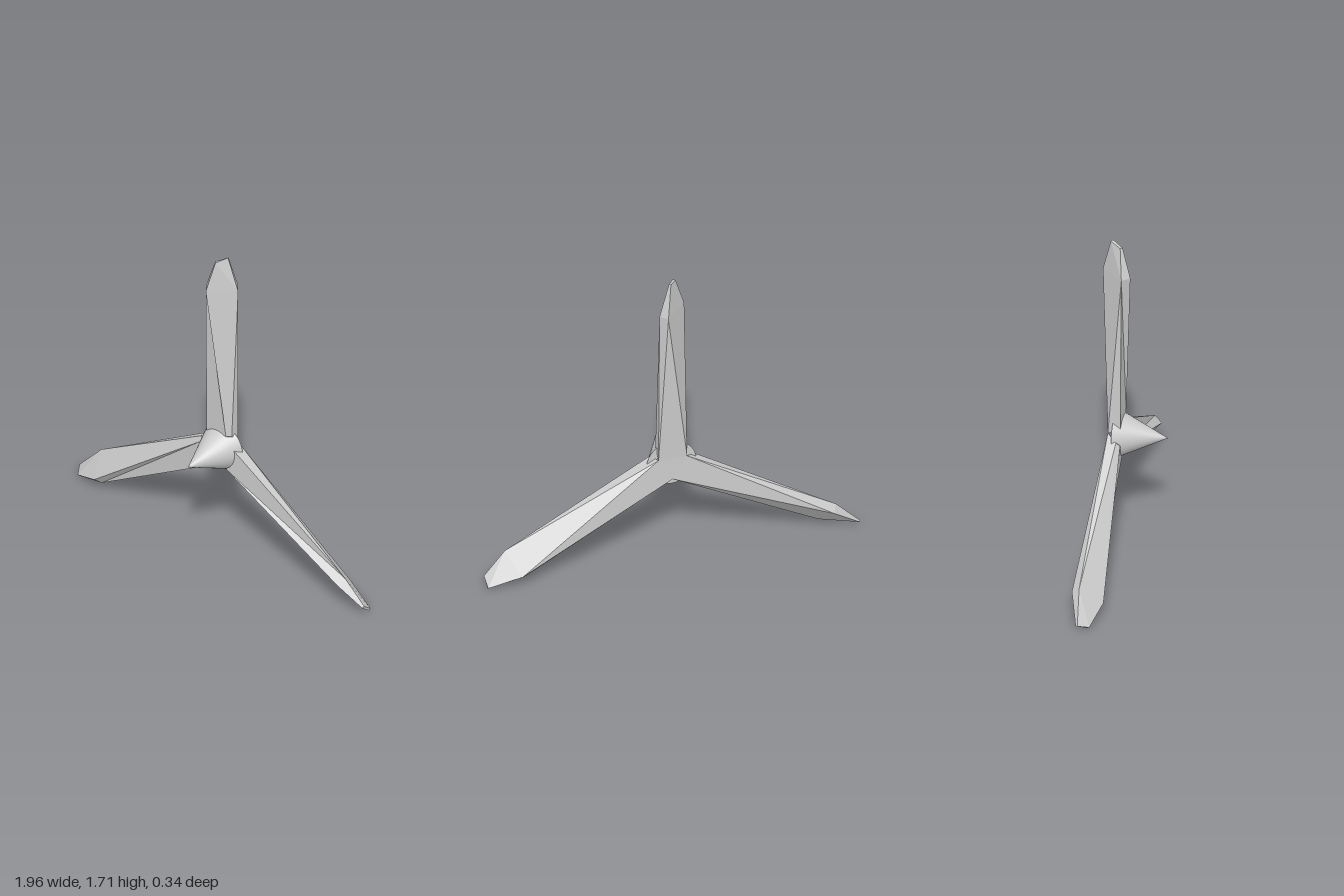
import * as THREE from 'three';

const HUB = [0.02, 0.63, 0];

// Blade cross-sections relative to the hub centre, ordered front, right, back right, back left, left
const ROOT = [[0.055, 0.10, -0.055], [0.077, 0.10, -0.075], [0.075, 0.043, -0.125], [-0.075, 0.043, -0.125], [-0.08, 0.07, -0.06]];
const WIDE = [[-0.045, 0.95, -0.015], [0.071, 0.945, -0.13], [0.036, 0.945, -0.17], [-0.08, 0.95, -0.055], [-0.08, 0.95, -0.055]];
const TIP = [[-0.02, 1.11, -0.06], [0.016, 1.13, -0.115], [0.01, 1.125, -0.125], [-0.03, 1.11, -0.07], [-0.03, 1.11, -0.07]];

// Skin a closed solid through the cross-sections
function loft(rings) {
  const pos = [];
  const same = (a, b) => a.every((v, i) => v === b[i]);
  const tri = (a, b, c) => {
    if (!same(a, b) && !same(b, c) && !same(a, c)) pos.push(...a, ...b, ...c);
  };
  const n = rings[0].length;
  for (let r = 0; r < rings.length - 1; r++) {
    const low = rings[r], up = rings[r + 1];
    for (let i = 0; i < n; i++) {
      const j = (i + 1) % n;
      tri(low[i], low[j], up[i]);
      tri(low[j], up[j], up[i]);
    }
  }
  const first = rings[0], last = rings[rings.length - 1];
  for (let i = 1; i < n - 1; i++) {
    tri(first[0], first[i + 1], first[i]);
    tri(last[0], last[i], last[i + 1]);
  }
  const geo = new THREE.BufferGeometry();
  geo.setAttribute('position', new THREE.Float32BufferAttribute(pos, 3));
  geo.computeVertexNormals();
  return geo;
}

export function createModel() {
  const model = new THREE.Group();
  model.name = 'propeller';
  const flat = new THREE.MeshStandardMaterial({ color: 0xcccccc, flatShading: true });
  const smooth = new THREE.MeshStandardMaterial({ color: 0xcccccc });

  const rotor = new THREE.Group();
  rotor.name = 'rotor';
  rotor.position.set(...HUB);
  model.add(rotor);

  // Three twisted blades
  const bladeGeo = loft([ROOT, WIDE, TIP]);
  ['topBlade', 'rightBlade', 'leftBlade'].forEach((name, i) => {
    const blade = new THREE.Mesh(bladeGeo, flat);
    blade.name = name;
    blade.rotation.z = (i * Math.PI * 2) / 3;
    rotor.add(blade);
  });

  // Triangular hub closing the gap between the blade roots
  const hubGeo = new THREE.CylinderGeometry(0.0866, 0.0866, 0.065, 3);
  hubGeo.rotateX(Math.PI / 2);
  const hub = new THREE.Mesh(hubGeo, flat);
  hub.name = 'hub';
  hub.position.z = -0.0925;
  rotor.add(hub);

  // Pointed nose cone
  const coneGeo = new THREE.ConeGeometry(0.13, 0.27, 32);
  coneGeo.rotateX(Math.PI / 2);
  const cone = new THREE.Mesh(coneGeo, smooth);
  cone.name = 'noseCone';
  cone.position.z = 0.035;
  rotor.add(cone);

  return model;
}
